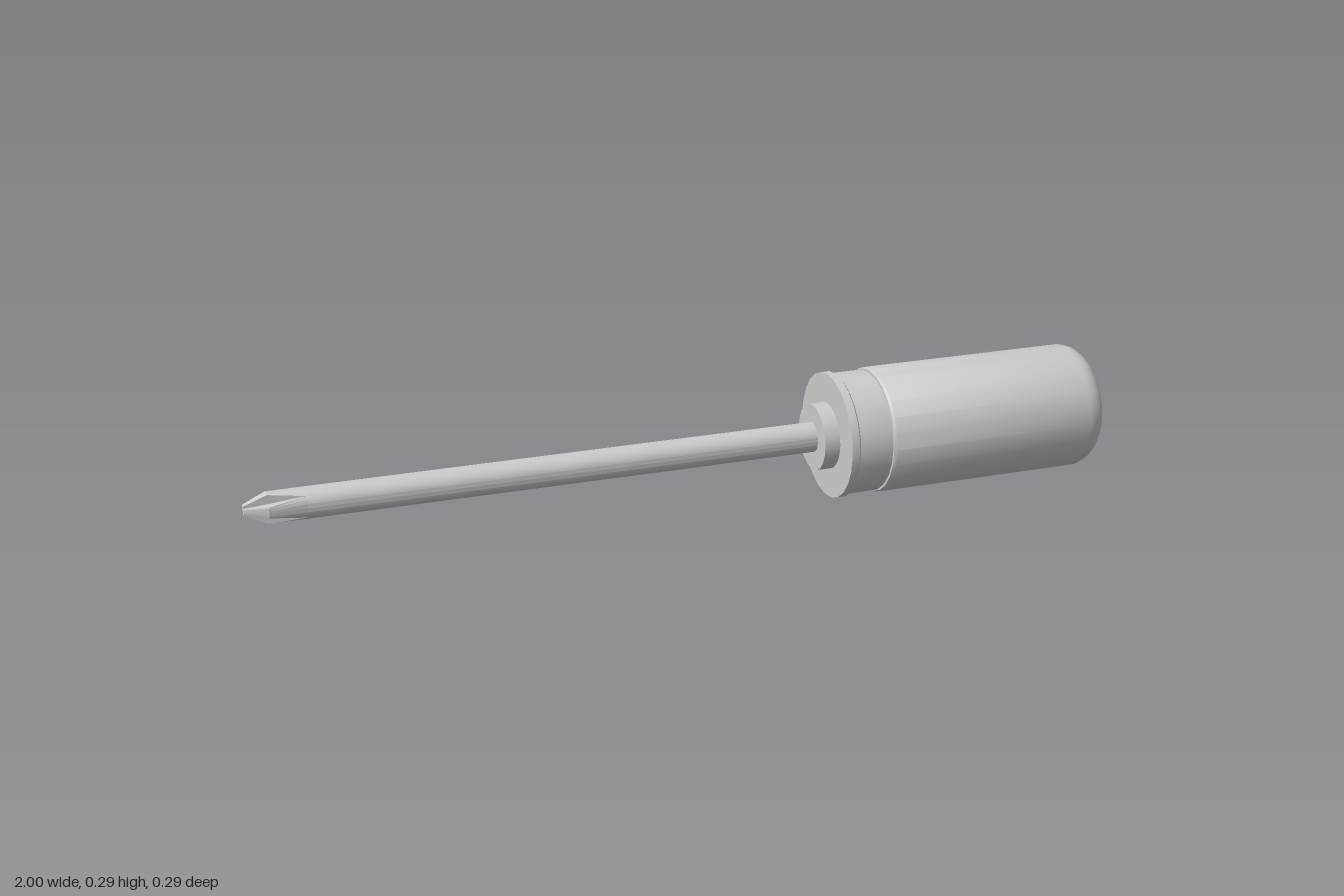
import * as THREE from 'three';
import { toCreasedNormals } from 'three/addons/utils/BufferGeometryUtils.js';

const AXIS_Y = 0.147;
const R_SHAFT = 0.035;
const material = new THREE.MeshStandardMaterial({ color: 0xcccccc });

function addPart(group, name, geometry, crease) {
  const mesh = new THREE.Mesh(toCreasedNormals(geometry, crease), material);
  mesh.name = name;
  mesh.position.y = AXIS_Y;
  group.add(mesh);
}

// Turned part along x from [x, radius] pairs
function turned(profile) {
  const points = profile.map(([x, r]) => new THREE.Vector2(r, x));
  return new THREE.LatheGeometry(points, 24).rotateZ(-Math.PI / 2);
}

// Cross-shaped section: four wings of half-width w, reaching radius r
function crossSection(x, r, w) {
  const ring = [];
  const a = Math.asin(w / r);
  for (let q = 0; q < 4; q++) {
    const put = (radius, t) => {
      const angle = t + q * Math.PI / 2;
      ring.push([x, radius * Math.cos(angle), radius * Math.sin(angle)]);
    };
    for (let k = -3; k <= 3; k++) put(r, a * k / 3);
    put(w * Math.SQRT2, Math.PI / 4);
  }
  return ring;
}

function tipGeometry() {
  const rings = [
    crossSection(-1, 0.013, 0.006),
    crossSection(-0.95, 0.035, 0.012),
    crossSection(-0.87, R_SHAFT, R_SHAFT * Math.SQRT1_2),
  ];
  const n = rings[0].length;
  const positions = [...rings.flat(), [-1, 0, 0]].flat();
  const index = [];
  for (let j = 0; j < n; j++) {
    const k = (j + 1) % n;
    for (let i = 0; i < rings.length - 1; i++) {
      const a = i * n + j, b = i * n + k;
      index.push(a, b, a + n, b, b + n, a + n);
    }
    index.push(rings.length * n, k, j);
  }
  const geometry = new THREE.BufferGeometry();
  geometry.setAttribute('position', new THREE.Float32BufferAttribute(positions, 3));
  geometry.setIndex(index);
  geometry.computeVertexNormals();
  return geometry;
}

export function createModel() {
  const group = new THREE.Group();
  group.name = 'screwdriver';

  addPart(group, 'crossTip', tipGeometry(), 0.4);
  addPart(group, 'shaft', turned([[-0.87, R_SHAFT], [0.31, R_SHAFT]]), 0.5);
  addPart(group, 'collar', turned([[0.3, 0], [0.3, 0.078], [0.345, 0.078]]), 0.5);

  // Flange, neck band and groove in front of the grip
  addPart(group, 'handleFlange', turned([
    [0.337, 0], [0.337, 0.147], [0.356, 0.147], [0.36, 0.142],
    [0.437, 0.142], [0.437, 0.138], [0.445, 0.138],
  ]), 0.5);

  // Grip with a rounded butt
  addPart(group, 'handleGrip', turned([
    [0.442, 0.13], [0.442, 0.144], [0.448, 0.147], [0.95, 0.147],
    [0.966, 0.144], [0.981, 0.136], [0.991, 0.125], [0.997, 0.112],
    [1, 0.095], [1, 0],
  ]), 0.5);

  return group;
}
